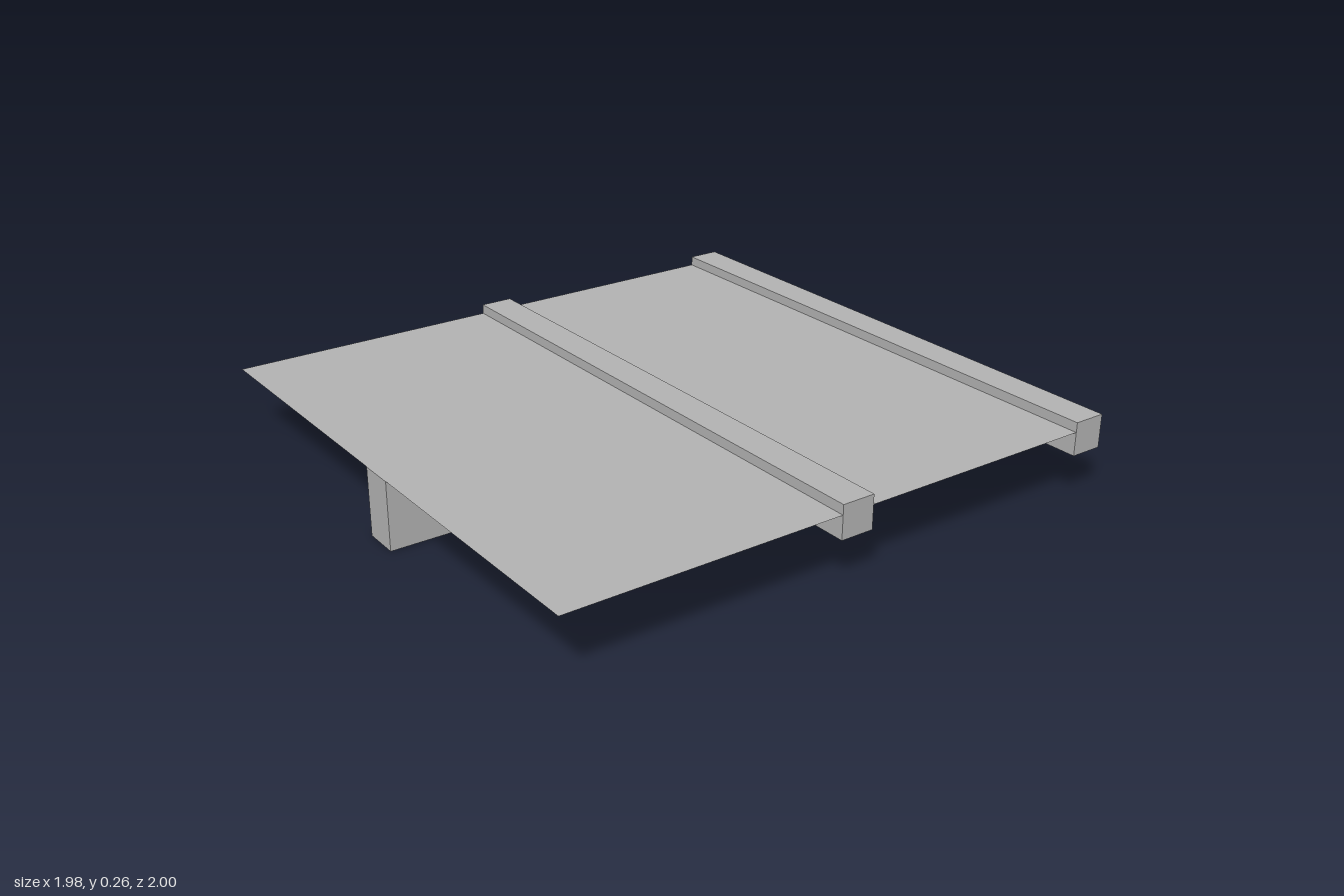
import * as THREE from 'three';

const HALF_WIDTH = 0.99;
const BACK = -0.975; // rear end of the beam and panel
const PANEL_Y = 0.23;

export function createModel() {
  const model = new THREE.Group();
  model.name = 'panelOnBeams';
  const grey = new THREE.MeshStandardMaterial({ color: 0xb2b2b2, side: THREE.DoubleSide });
  grey.name = 'grey';

  // Box given by its lower and upper corner
  const addBox = (name, [x0, y0, z0], [x1, y1, z1]) => {
    const mesh = new THREE.Mesh(new THREE.BoxGeometry(x1 - x0, y1 - y0, z1 - z0), grey);
    mesh.position.set((x0 + x1) / 2, (y0 + y1) / 2, (z0 + z1) / 2);
    mesh.name = name;
    model.add(mesh);
  };

  // Long beam from front to back
  addBox('mainBeam', [-0.061, 0, BACK], [0.061, PANEL_Y - 0.001, 1]);

  // Two square bars across the beam, standing slightly proud of the panel
  for (const [name, z0, z1] of [['middleCrossbar', -0.048, 0.066], ['rearCrossbar', -1, -0.887]]) {
    addBox(name, [-HALF_WIDTH, 0.15, z0], [HALF_WIDTH, 0.263, z1]);
  }

  // Thin sheet
  const panel = new THREE.Mesh(new THREE.PlaneGeometry(2 * HALF_WIDTH, 1 - BACK), grey);
  panel.rotation.x = -Math.PI / 2;
  panel.position.set(0, PANEL_Y, (1 + BACK) / 2);
  panel.name = 'panel';
  model.add(panel);

  return model;
}
